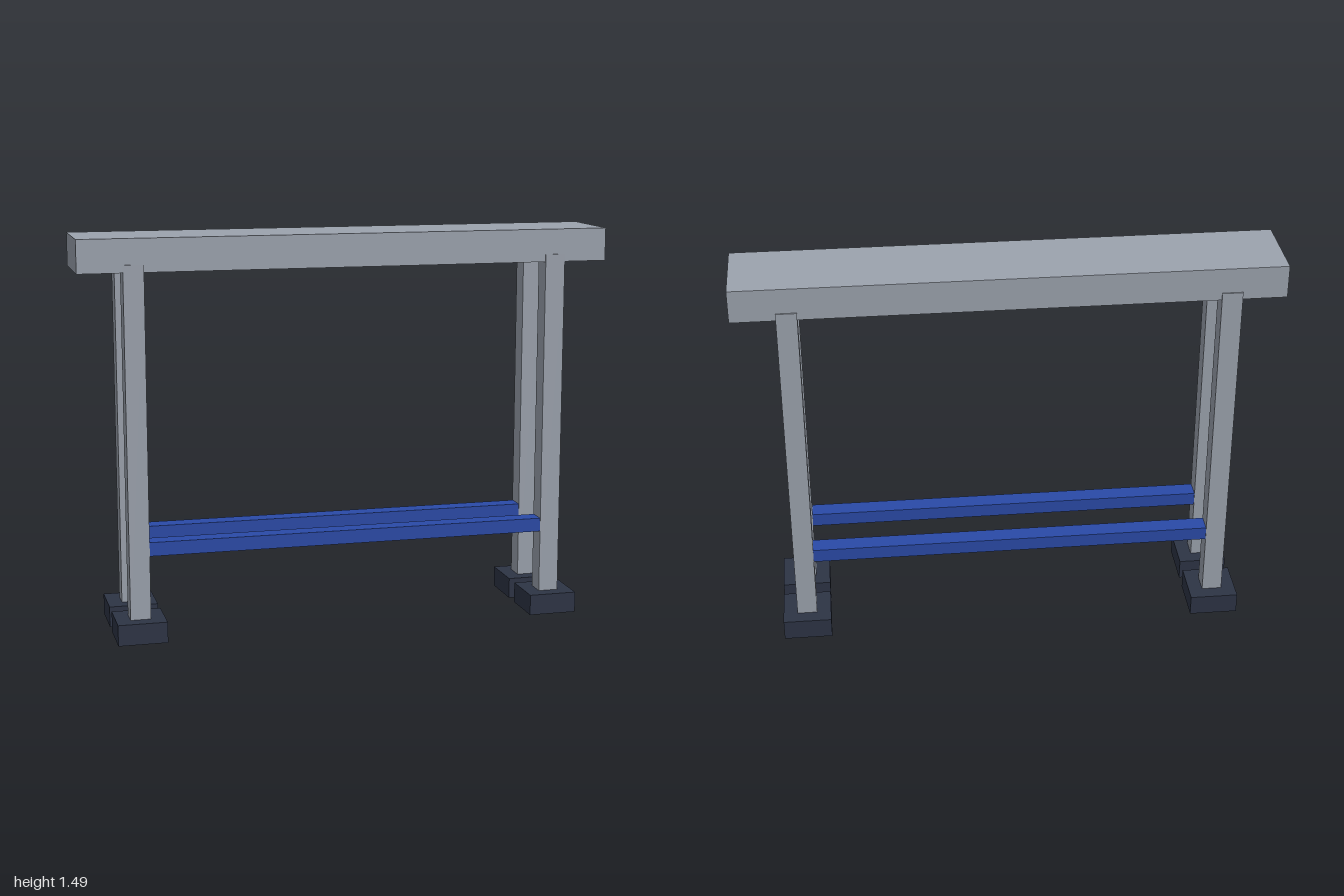
import * as THREE from 'three';

const paint = (name, color) => {
  const material = new THREE.MeshStandardMaterial({ color });
  material.name = name;
  return material;
};

export function createModel() {
  const group = new THREE.Group();
  group.name = 'trestle';
  const steel = paint('grey steel', 0x9ca3ae);
  const blue = paint('blue paint', 0x2a4aa8);
  const rubber = paint('dark rubber', 0x2d3445);

  // Box given by its size, bottom height and centre
  const addBox = (name, material, [w, h, d], x, bottom, z) => {
    const mesh = new THREE.Mesh(new THREE.BoxGeometry(w, h, d), material);
    mesh.name = name;
    mesh.position.set(x, bottom + h / 2, z);
    group.add(mesh);
  };

  const legX = 0.798, legZ = 0.122, legWidth = 0.076;

  // Top beam
  addBox('topBeam', steel, [2, 0.123, 0.31], 0, 1.362, 0);

  for (const [side, sz] of [['front', 1], ['back', -1]]) {
    // Lower rail between the two legs of each side
    addBox(`${side}Rail`, blue, [2 * legX - legWidth, 0.052, 0.07], 0, 0.317, sz * legZ);

    for (const [hand, sx] of [['Left', 1], ['Right', -1]]) {
      // Leg, overlapping the beam slightly, with its foot block
      addBox(`${side}${hand}Leg`, steel, [legWidth, 1.388, legWidth], sx * legX, 0.002, sz * legZ);
      addBox(`${side}${hand}Foot`, rubber, [0.184, 0.079, 0.184], sx * legX, 0, sz * legZ);
    }
  }
  return group;
}
